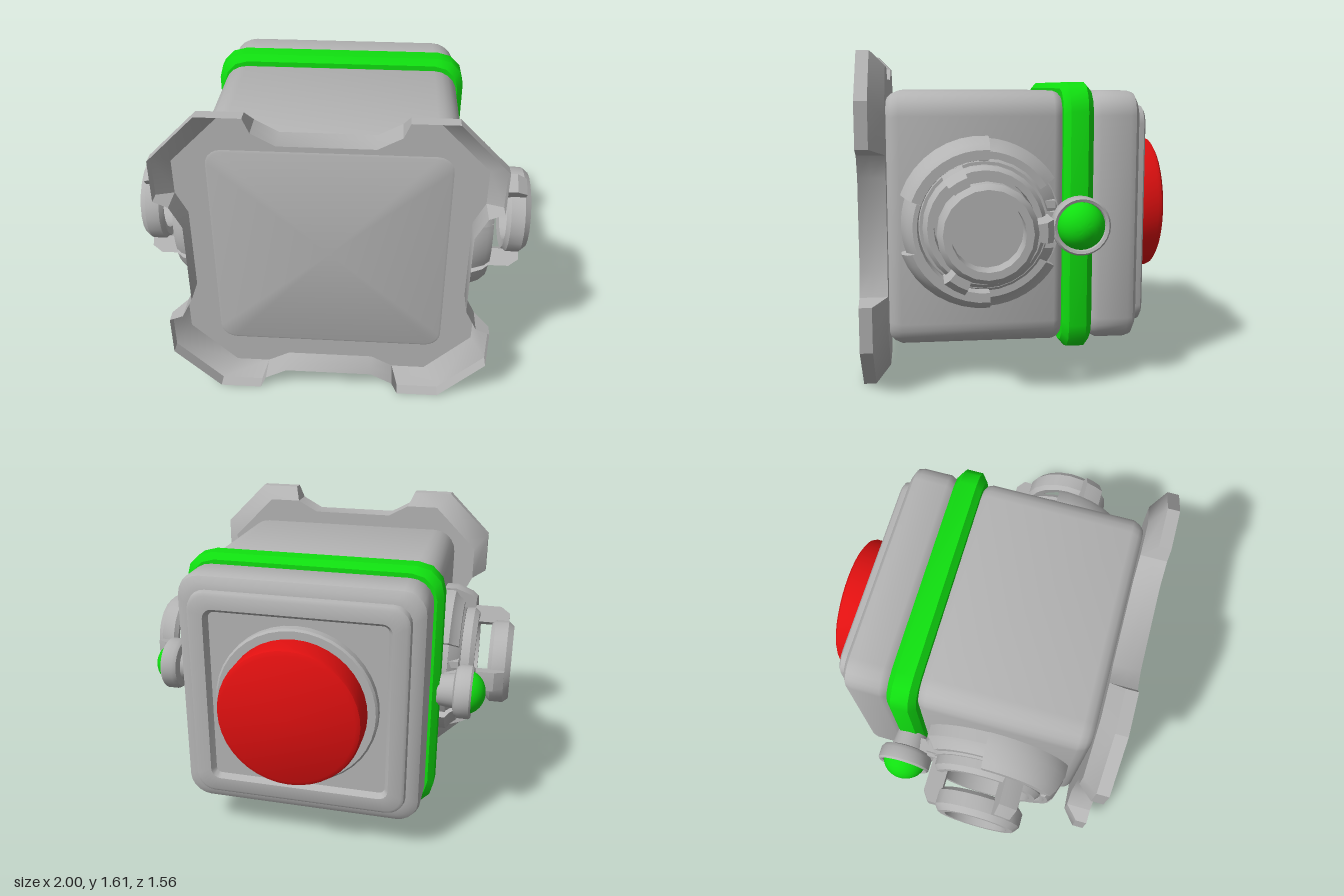
import * as THREE from 'three';
import { toCreasedNormals } from 'three/addons/utils/BufferGeometryUtils.js';

const CY = 0.81; // height of the model's centre line
const V = (x, y, z) => new THREE.Vector3(x, y, z);
const rad = THREE.MathUtils.degToRad;

// Skin a list of equal-length rings; faces are turned outward by the sign of the volume
function loft(rings, { wrap = false, capStart = true, capEnd = true } = {}) {
  const tris = [];
  const n = rings[0].length;
  const last = wrap ? rings.length : rings.length - 1;
  for (let i = 0; i < last; i++) {
    const a = rings[i], b = rings[(i + 1) % rings.length];
    for (let j = 0; j < n; j++) {
      const k = (j + 1) % n;
      tris.push([a[j], a[k], b[k]], [a[j], b[k], b[j]]);
    }
  }
  const cap = (ring, flip) => {
    const c = ring.reduce((s, p) => s.add(p), V(0, 0, 0)).divideScalar(n);
    ring.forEach((p, j) => {
      const q = ring[(j + 1) % n];
      tris.push(flip ? [c, q, p] : [c, p, q]);
    });
  };
  if (!wrap && capStart) cap(rings[0], true);
  if (!wrap && capEnd) cap(rings[rings.length - 1], false);
  const o = rings[0][0];
  let vol = 0;
  for (const [a, b, c] of tris) {
    vol += a.clone().sub(o).dot(b.clone().sub(o).cross(c.clone().sub(o)));
  }
  const pts = tris.flatMap(([a, b, c]) => (vol < 0 ? [a, c, b] : [a, b, c]));
  return toCreasedNormals(new THREE.BufferGeometry().setFromPoints(pts), 0.6);
}

// Sweep a closed [radius, depth] profile around an axis; place(r, depth, angle) gives the point
function revolve(profile, place, from = 0, to = 360, segs = 28) {
  const wrap = to - from >= 360;
  const rings = [];
  for (let i = 0; i < segs + (wrap ? 0 : 1); i++) {
    const a = rad(from + ((to - from) * i) / segs);
    rings.push(profile.map(([r, d]) => place(r, d, a)));
  }
  return loft(rings, { wrap });
}

// Rounded square ring of half-size h at depth z
function roundedSquare(z, h, r, segs) {
  const pts = [];
  for (let c = 0; c < 4; c++) {
    const mid = rad(45 + 90 * c);
    const cx = Math.sign(Math.cos(mid)) * (h - r), cy = Math.sign(Math.sin(mid)) * (h - r);
    for (let i = 0; i <= segs; i++) {
      const a = rad(90 * c + (90 * i) / segs);
      pts.push(V(cx + r * Math.cos(a), CY + cy + r * Math.sin(a), z));
    }
  }
  return pts;
}
const squareLoft = (steps, segs = 5) => loft(steps.map(([z, h, r]) => roundedSquare(z, h, r, segs)));

// Mirror a quarter outline into a full one
function fourWay(quarter, z) {
  const rev = [...quarter].reverse();
  return [
    ...quarter.map(([x, y]) => V(x, CY + y, z)),
    ...rev.map(([x, y]) => V(x, CY - y, z)),
    ...quarter.map(([x, y]) => V(-x, CY - y, z)),
    ...rev.map(([x, y]) => V(-x, CY + y, z)),
  ];
}

export function createModel() {
  const mat = (name, color, side = THREE.FrontSide) => {
    const m = new THREE.MeshStandardMaterial({ color, side });
    m.name = name;
    return m;
  };
  const grey = mat('grey metal', 0xb4b4b4, THREE.DoubleSide);
  const green = mat('green', 0x10e010);
  const red = mat('red', 0xe01010);
  const model = new THREE.Group();
  model.name = 'buttonCube';
  const add = (parent, name, geometry, material) => {
    const mesh = new THREE.Mesh(geometry, material);
    mesh.name = name;
    parent.add(mesh);
    return mesh;
  };

  // Front plate: an open dish with four corner tabs
  const outer = [[0.22, 0.675], [0.33, 0.735], [0.36, 0.805], [0.57, 0.805],
    [0.8, 0.575], [0.8, 0.36], [0.73, 0.33], [0.675, 0.22]];
  const inner = [[0.22, 0.675], [0.33, 0.735], [0.33, 0.735], [0.5, 0.735],
    [0.73, 0.505], [0.73, 0.33], [0.73, 0.33], [0.675, 0.22]];
  add(model, 'frontPlate', loft(
    [fourWay(inner, 0.65), fourWay(outer, 0.72), fourWay(outer, 0.78)], { capEnd: false }), grey);

  // Main box
  add(model, 'body', squareLoft([
    [0.654, 0.56, 0.07], [0.645, 0.585, 0.09], [0.625, 0.605, 0.11], [0.59, 0.62, 0.12],
    [-0.15, 0.62, 0.12], [-0.175, 0.61, 0.11], [-0.2, 0.585, 0.1]]), grey);

  // Coloured band around the box
  add(model, 'band', squareLoft([
    [-0.19, 0.57, 0.1], [-0.19, 0.63, 0.13], [-0.22, 0.66, 0.14],
    [-0.305, 0.66, 0.14], [-0.335, 0.63, 0.13], [-0.335, 0.57, 0.1]], 3), green);

  // Rear cap with a raised frame and a sunken panel
  add(model, 'rearCap', squareLoft([
    [-0.325, 0.585, 0.1], [-0.345, 0.605, 0.11], [-0.375, 0.62, 0.12], [-0.52, 0.62, 0.12],
    [-0.55, 0.61, 0.11], [-0.57, 0.58, 0.1], [-0.575, 0.55, 0.09], [-0.605, 0.545, 0.09],
    [-0.615, 0.53, 0.08], [-0.615, 0.465, 0.05], [-0.585, 0.445, 0.03]]), grey);

  // Push button and its collar
  const aroundZ = (r, z, a) => V(r * Math.cos(a), CY + r * Math.sin(a), z);
  add(model, 'buttonCollar', revolve(
    [[0, -0.57], [0.41, -0.57], [0.41, -0.625], [0.4, -0.635], [0, -0.635]], aroundZ, 0, 360, 40), grey);
  add(model, 'button', revolve(
    [[0, -0.62], [0.36, -0.62], [0.36, -0.745], [0.352, -0.765], [0.33, -0.778], [0, -0.78]],
    aroundZ, 0, 360, 40), red);

  // Side sockets; angle 0 points to the rear
  for (const s of [1, -1]) {
    const socket = new THREE.Group();
    socket.name = s > 0 ? 'leftSocket' : 'rightSocket';
    model.add(socket);
    const aroundX = (cz) => (r, x, a) => V(s * x, CY + r * Math.sin(a), cz - r * Math.cos(a));
    const hub = aroundX(0.2);

    // Floor and stepped base ring
    add(socket, 'socketFloor', revolve([[0, 0.6], [0.36, 0.6], [0.36, 0.66], [0, 0.66]], hub), grey);
    add(socket, 'baseRing', revolve(
      [[0.23, 0.64], [0.36, 0.64], [0.36, 0.68], [0.325, 0.72], [0.3, 0.74], [0.24, 0.74]], hub), grey);

    // Armour segments: [start, end, radius, height]
    const armour = [[86, 160, 0.41, 0.79], [160, 200, 0.385, 0.8], [200, 274, 0.41, 0.79],
      [32, 86, 0.4, 0.73], [274, 328, 0.4, 0.73], [-32, 32, 0.365, 0.71]];
    for (const [from, to, R, top] of armour) {
      add(socket, 'armourSegment', revolve(
        [[0.29, 0.61], [R, 0.61], [R, 0.68], [R - 0.03, top - 0.03], [R - 0.055, top], [0.31, top]],
        hub, from, to, 8), grey);
    }

    // Collar, outer ring and the three struts joining them
    add(socket, 'collar', revolve(
      [[0.235, 0.64], [0.285, 0.64], [0.285, 0.785], [0.265, 0.81], [0.235, 0.81]], hub), grey);
    add(socket, 'outerRing', revolve(
      [[0.165, 0.89], [0.205, 0.88], [0.225, 0.9], [0.225, 0.97], [0.2, 1], [0.165, 1]], hub, 0, 360, 20), grey);
    for (const a of [0, 120, 240]) {
      add(socket, 'strut', revolve(
        [[0.21, 0.72], [0.3, 0.72], [0.3, 0.92], [0.265, 0.97], [0.21, 0.97]], hub, a - 10, a + 10, 2), grey);
    }

    // Lamp behind the socket, with its arm
    const lampAxis = aroundX(-0.245);
    add(socket, 'lampHousing', revolve(
      [[0, 0.65], [0.08, 0.65], [0.09, 0.73], [0.125, 0.74], [0.137, 0.76], [0.137, 0.815],
        [0.128, 0.825], [0.115, 0.82], [0.11, 0.79], [0, 0.79]], lampAxis), grey);
    const dome = [[0, 0.78]];
    for (let i = 0; i <= 7; i++) {
      const t = (i / 7) * Math.PI / 2;
      dome.push([0.114 * Math.cos(t), 0.785 + 0.105 * Math.sin(t)]);
    }
    add(socket, 'lampDome', revolve(dome, lampAxis), green);
    add(socket, 'lampArm', new THREE.BoxGeometry(0.08, 0.12, 0.16), grey).position.set(s * 0.71, CY, -0.13);
    for (const d of [-1, 1]) {
      add(socket, 'armRib', new THREE.BoxGeometry(0.07, 0.035, 0.05), grey).position.set(s * 0.7, CY + d * 0.095, -0.11);
    }
  }
  return model;
}
